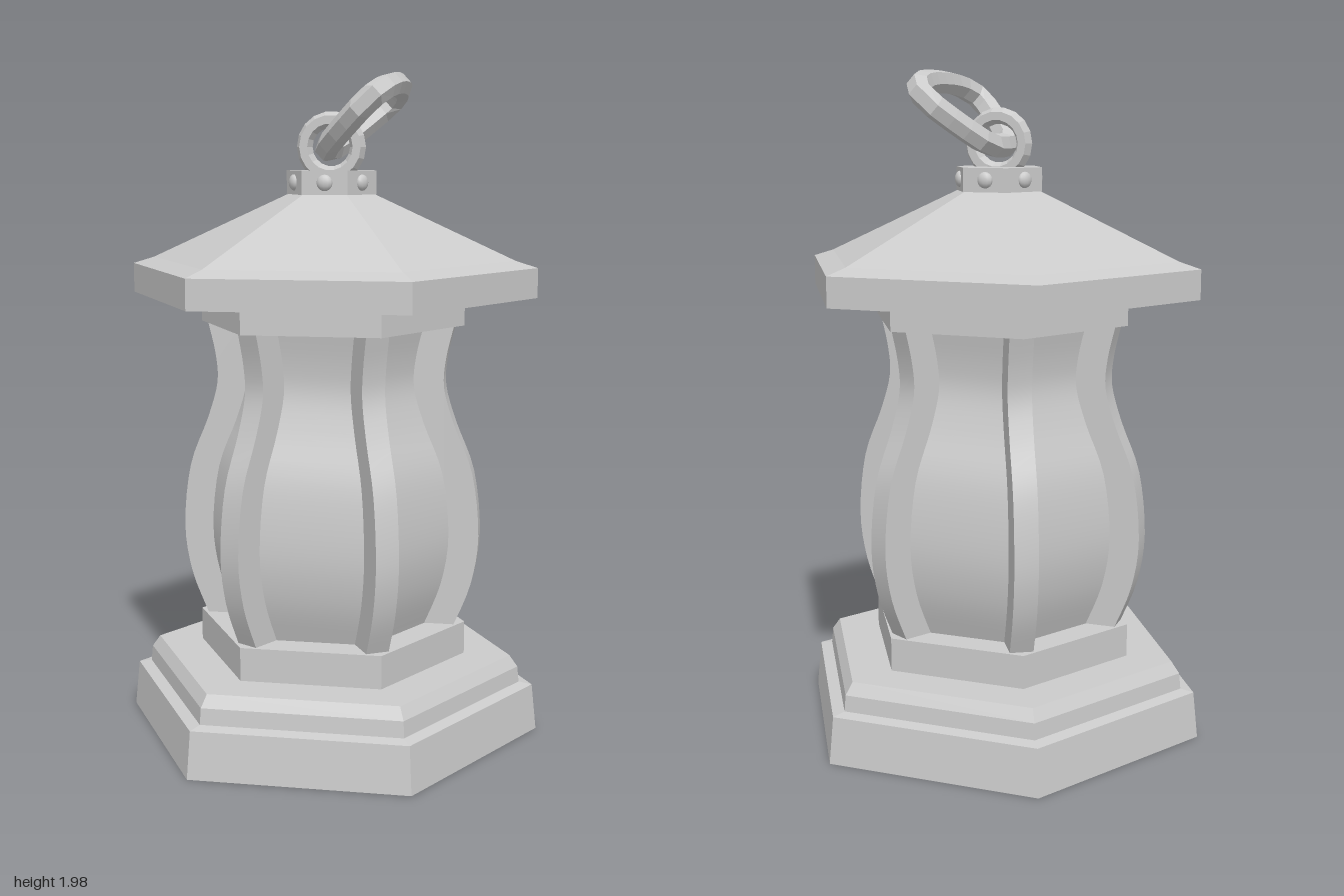
import * as THREE from 'three';
import { toCreasedNormals } from 'three/addons/utils/BufferGeometryUtils.js';

const grey = new THREE.MeshStandardMaterial({ color: 0xcccccc });
const flat = new THREE.MeshStandardMaterial({ color: 0xcccccc, flatShading: true });
const v2 = (p) => new THREE.Vector2(p[0], p[1]);

function add(parent, name, geometry, material) {
  const mesh = new THREE.Mesh(geometry, material);
  mesh.name = name;
  parent.add(mesh);
  return mesh;
}

// Six-sided solid from a [radius, y] profile, corners on +x and -x
const hex = (profile) => new THREE.LatheGeometry(profile.map(v2), 6, Math.PI / 6);

export function createModel() {
  const lantern = new THREE.Group();
  lantern.name = 'lantern';

  // Stepped base
  add(lantern, 'base', hex([[0, 0], [0.64, 0], [0.625, 0.14], [0.585, 0.147],
    [0.58, 0.195], [0.555, 0.23], [0, 0.23]]), flat);
  add(lantern, 'plinth', hex([[0.415, 0.22], [0.415, 0.33], [0, 0.33]]), flat);

  // Bulging outline shared by the ribs and the panes
  const outline = new THREE.SplineCurve([[0.385, 0.33], [0.435, 0.46], [0.456, 0.61],
    [0.435, 0.8], [0.378, 0.95], [0.347, 1.06], [0.352, 1.15], [0.375, 1.25]].map(v2))
    .getPoints(28);

  // Recessed panes
  const panes = hex(outline.map((p) => [p.x - 0.07, p.y]));
  add(lantern, 'panes', toCreasedNormals(panes, 0.5), grey);

  // Ribs on the six corners
  const inner = outline.map((p) => new THREE.Vector2(p.x - 0.095, p.y)).reverse();
  const ribGeometry = new THREE.ExtrudeGeometry(new THREE.Shape([...outline, ...inner]),
    { depth: 0.07, bevelEnabled: false });
  ribGeometry.translate(0, 0, -0.035);
  const ribShape = toCreasedNormals(ribGeometry, 0.5);
  for (let i = 0; i < 6; i++) {
    add(lantern, 'rib', ribShape, grey).rotation.y = (i * Math.PI) / 3;
  }

  // Collar, roof with flat rim, and cap
  add(lantern, 'collar', hex([[0, 1.245], [0.402, 1.245], [0.402, 1.335]]), flat);
  add(lantern, 'roof', hex([[0, 1.33], [0.615, 1.33], [0.615, 1.418],
    [0.55, 1.438], [0.12, 1.635]]), flat);
  add(lantern, 'cap', hex([[0, 1.63], [0.135, 1.63], [0.135, 1.7], [0, 1.7]]), flat);

  // Rivets on the cap faces
  const rivetShape = new THREE.SphereGeometry(0.024, 12, 8);
  for (let i = 0; i < 6; i++) {
    const a = (i * Math.PI) / 3;
    const rivet = add(lantern, 'rivet', rivetShape, grey);
    rivet.position.set(Math.sin(a) * 0.116, 1.665, Math.cos(a) * 0.116);
    rivet.rotation.y = a;
    rivet.scale.z = 0.65;
  }

  // Fixed loop, sunk into the cap
  const loop = add(lantern, 'loop', new THREE.TorusGeometry(0.08, 0.024, 6, 18), flat);
  loop.position.y = 1.768;
  loop.scale.z = 1.25;

  // Hanging ring: a rounded triangle leaning toward +x
  const half = [[0.045, 0.085], [0.12, 0.16], [0.24, 0.222], [0.287, 0.17], [0.305, 0.08]];
  const path = [[0.034, 0], ...half, [0.308, 0],
    ...half.map(([u, w]) => [u, -w]).reverse()];
  const curve = new THREE.CatmullRomCurve3(
    path.map(([u, w]) => new THREE.Vector3(u, 0, w)), true, 'centripetal');
  const ring = add(lantern, 'ring', new THREE.TubeGeometry(curve, 20, 0.036, 6, true), flat);
  ring.position.set(-0.03, 1.738, 0);
  ring.rotation.z = 0.745;

  return lantern;
}
